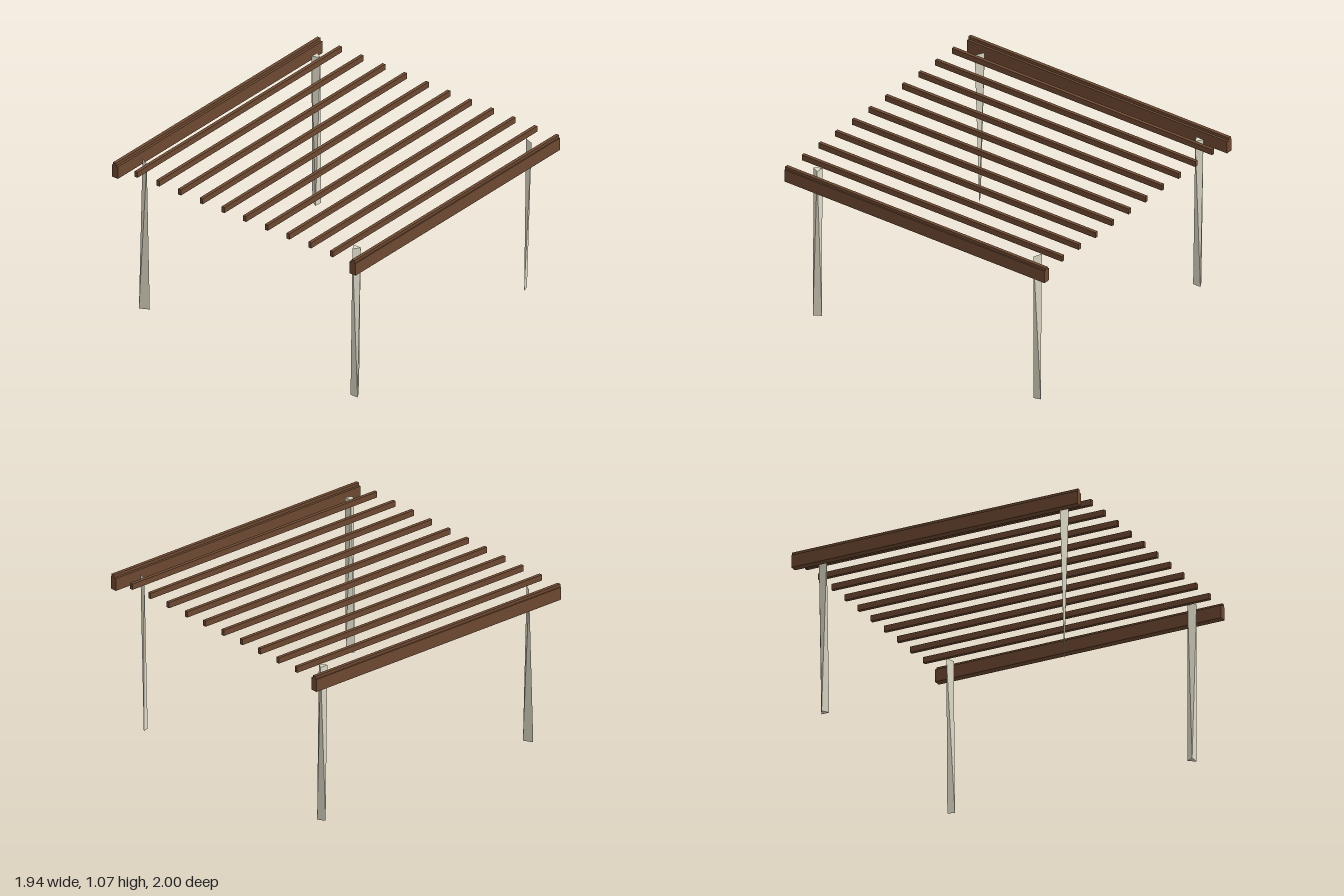
import * as THREE from 'three';
import { ConvexGeometry } from 'three/addons/geometries/ConvexGeometry.js';

const wood = new THREE.MeshStandardMaterial({ color: 0x6f4a32, flatShading: true });
const stone = new THREE.MeshStandardMaterial({ color: 0xe0dbc8, flatShading: true });

const LENGTH = 2, POST_HEIGHT = 1.055, POST_OFFSET = 0.84;

// A long timber running front to back
function timber(name, x, bottom, top, width) {
  const mesh = new THREE.Mesh(new THREE.BoxGeometry(width, top - bottom, LENGTH), wood);
  mesh.position.set(x, (top + bottom) / 2, 0);
  mesh.name = name;
  return mesh;
}

// A faceted post: the hull of a small polygon at the foot and another at the top
function post(name, sx, sz, foot, top) {
  const points = [
    ...foot.map(([x, z]) => new THREE.Vector3(x, 0, z)),
    ...top.map(([x, z]) => new THREE.Vector3(x, POST_HEIGHT, z)),
  ];
  const mesh = new THREE.Mesh(new ConvexGeometry(points), stone);
  mesh.position.set(sx * POST_OFFSET, 0, sz * POST_OFFSET);
  mesh.name = name;
  return mesh;
}

// Equilateral triangle with one corner pointing along the given angle (0 = +x, PI/2 = +z)
function triangle(angle, r = 0.032) {
  return [0, 1, 2].map((i) => {
    const a = angle + (i * Math.PI * 2) / 3;
    return [r * Math.cos(a), r * Math.sin(a)];
  });
}

export function createModel() {
  const group = new THREE.Group();
  group.name = 'pergola';

  // Side beams
  for (const [side, name] of [[1, 'leftBeam'], [-1, 'rightBeam']]) {
    group.add(timber(name, side * 0.946, 0.97, 1.055, 0.047));
  }

  // Evenly spaced rafters, the outer two sunk into the beams
  const count = 12, span = 1.9;
  for (let i = 0; i < count; i++) {
    group.add(timber('rafter', -span / 2 + (i * span) / (count - 1), 1.035, 1.074, 0.023));
  }

  // Triangular posts, the top turned half a step against the foot
  group.add(post('frontLeftPost', 1, 1, triangle(-Math.PI / 2), triangle(Math.PI / 2)));
  group.add(post('backRightPost', -1, -1, triangle(Math.PI), triangle(0)));

  // Wedge posts, an edge at the foot crossed with an edge at the top
  group.add(post('frontRightPost', -1, 1,
    [[-0.032, 0.016], [0.028, -0.016]],
    [[-0.03, -0.016], [0.03, 0.016]]));
  group.add(post('backLeftPost', 1, -1,
    [[-0.005, 0.025], [-0.02, -0.02]],
    [[-0.028, -0.022], [0.032, -0.002]]));

  return group;
}
